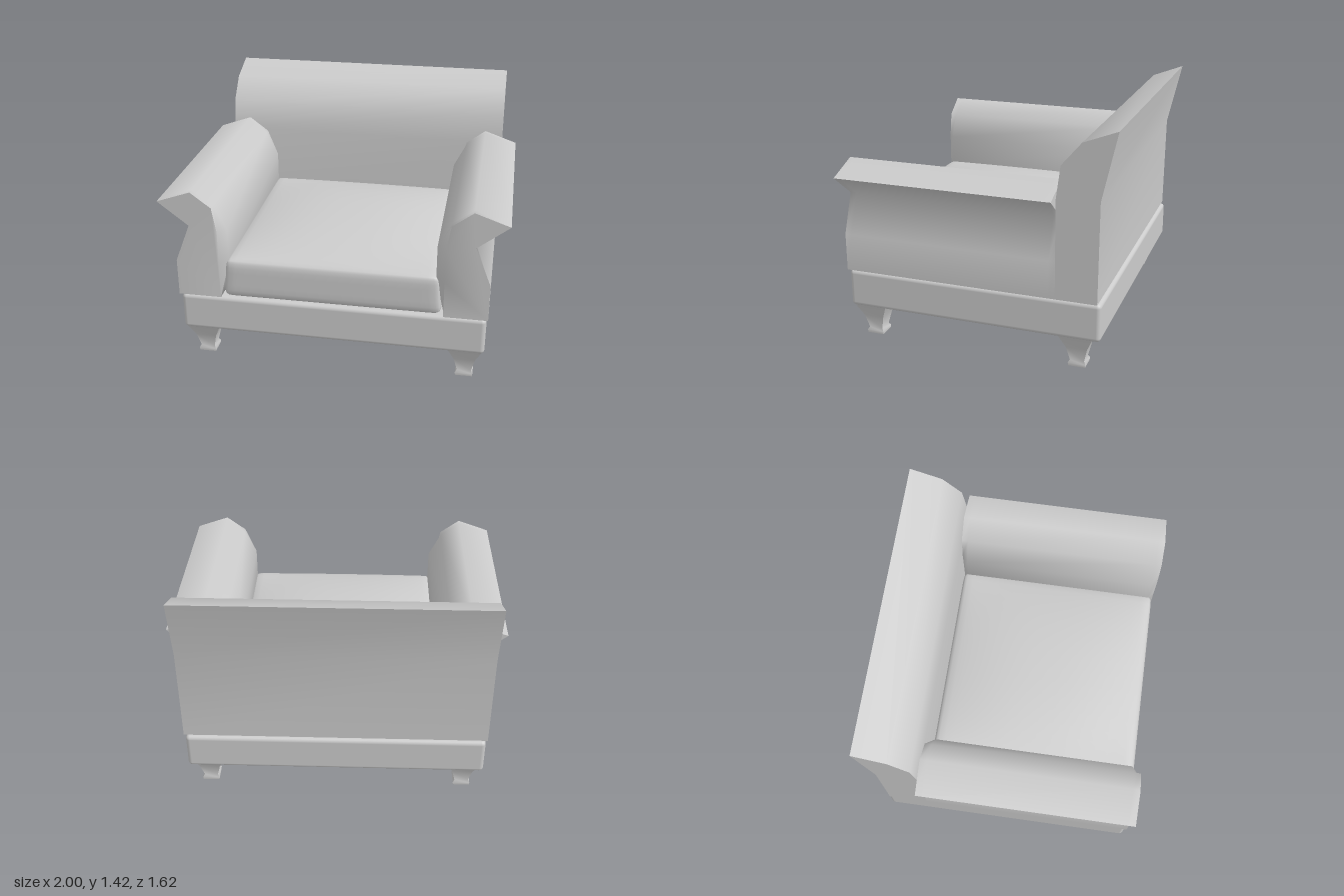
import * as THREE from 'three';
import { mergeVertices, toCreasedNormals } from 'three/addons/utils/BufferGeometryUtils.js';
import { RoundedBoxGeometry } from 'three/addons/geometries/RoundedBoxGeometry.js';

const material = new THREE.MeshStandardMaterial({ color: 0xcccccc });
const CREASE = THREE.MathUtils.degToRad(78);

function addMesh(parent, name, geometry, x = 0, y = 0, z = 0) {
  const mesh = new THREE.Mesh(geometry, material);
  mesh.name = name;
  mesh.position.set(x, y, z);
  parent.add(mesh);
  return mesh;
}

const shapeOf = (points) => new THREE.Shape(points.map(([x, y]) => new THREE.Vector2(x, y)));

// Rolled arm: extruded profile whose inner face swells between the two ends
function armGeometry(side) {
  const profile = [
    [0.91, 0.435], [0.91, 0.66], [0.82, 0.89], [1.0, 1.03], [0.8, 1.1],
    [0.68, 1.01], [0.655, 0.86], [0.655, 0.66], [0.655, 0.435],
  ];
  const depth = 1.285;
  const geometry = new THREE.ExtrudeGeometry(
    shapeOf(profile.map(([x, y]) => [x * side, y])),
    { depth, steps: 3, bevelEnabled: false },
  );
  const stations = [0, 0.04, depth - 0.04, depth];
  const pos = geometry.attributes.position;
  for (let i = 0; i < pos.count; i++) {
    const step = Math.round((pos.getZ(i) / depth) * 3);
    const x = Math.abs(pos.getX(i));
    const y = pos.getY(i);
    const inner = x < 0.66 && y > 0.6;
    if (inner && (step === 1 || step === 2)) pos.setX(i, 0.605 * side);
    pos.setZ(i, stations[step]);
  }
  return toCreasedNormals(geometry, CREASE);
}

// Backrest: side profile (z, y) swept across the width
function backGeometry() {
  const profile = [
    [-0.475, 0.435], [-0.475, 1.02], [-0.5, 1.21], [-0.615, 1.345],
    [-0.81, 1.42], [-0.722, 1.03], [-0.717, 0.435],
  ];
  const geometry = new THREE.ExtrudeGeometry(
    shapeOf(profile.map(([z, y]) => [-z, y])),
    { depth: 1.82, bevelEnabled: false },
  );
  geometry.rotateY(Math.PI / 2).translate(-0.91, 0, 0);
  return toCreasedNormals(geometry, CREASE);
}

// Seat cushion: rounded block, narrower towards the top, with a domed upper face
function cushionGeometry() {
  const half = new THREE.Vector3(0.645, 0.125, 0.635);
  const radius = 0.045;
  const box = new THREE.BoxGeometry(2, 2, 2, 20, 10, 20);
  box.deleteAttribute('uv');
  box.deleteAttribute('normal');
  const geometry = mergeVertices(box);
  const pos = geometry.attributes.position;
  const core = half.clone().subScalar(radius);
  const p = new THREE.Vector3();
  const q = new THREE.Vector3();
  for (let i = 0; i < pos.count; i++) {
    p.fromBufferAttribute(pos, i);
    // crowd the grid towards the edges, then round them
    p.set(...p.toArray().map((t) => Math.sin((t * Math.PI) / 2))).multiply(half);
    q.copy(p).clamp(core.clone().negate(), core);
    p.sub(q).setLength(Math.min(radius, p.length())).add(q);
    const up = (p.y / half.y + 1) / 2;
    const u = Math.min(1, Math.abs(p.x) / 0.63);
    const v = Math.min(1, Math.abs(p.z) / 0.62);
    if (p.y > 0) p.y += 0.075 * (p.y / half.y) * (1 - u ** 2.4) * (1 - v ** 2.4);
    p.x *= 1 - 0.03 * up;
    pos.setXYZ(i, p.x, p.y, p.z);
  }
  geometry.computeVertexNormals();
  return geometry;
}

// Square tapered leg with a small flared foot
function legGeometry() {
  const profile = [
    [0, 0], [0.05, 0], [0.052, 0.018], [0.042, 0.035],
    [0.062, 0.12], [0.1, 0.205], [0, 0.205],
  ];
  const points = profile.map(([r, y]) => new THREE.Vector2(r * Math.SQRT2, y));
  return toCreasedNormals(new THREE.LatheGeometry(points, 4, Math.PI / 4), Math.PI / 4);
}

export function createModel() {
  const chair = new THREE.Group();
  chair.name = 'armchair';

  addMesh(chair, 'baseFrame', new RoundedBoxGeometry(1.8, 0.23, 1.54, 4, 0.025), 0, 0.315, 0.035);
  addMesh(chair, 'seatCushion', cushionGeometry(), 0, 0.555, 0.165);
  addMesh(chair, 'backrest', backGeometry());

  for (const [side, label] of [[1, 'left'], [-1, 'right']]) {
    addMesh(chair, `${label}Arm`, armGeometry(side), 0, 0, -0.475);
    addMesh(chair, `${label}FrontLeg`, legGeometry(), side * 0.787, 0, 0.687);
    addMesh(chair, `${label}BackLeg`, legGeometry(), side * 0.787, 0, -0.587);
  }
  return chair;
}
